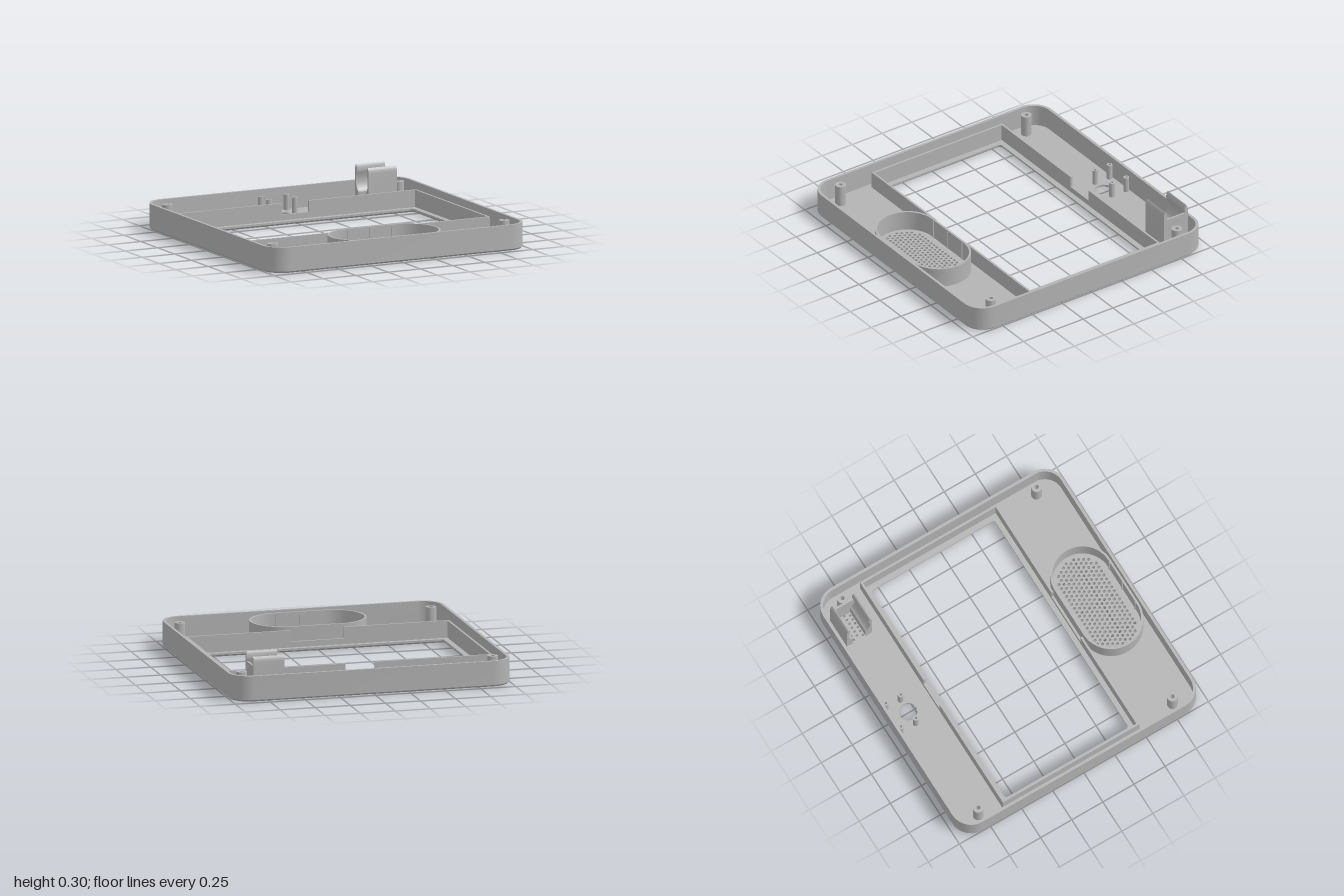
import * as THREE from 'three';
import { toCreasedNormals } from 'three/addons/utils/BufferGeometryUtils.js';

const FLOOR = 0.025;   // floor thickness
const RIM = 0.18;      // outer wall height
const FRAME = 0.145;   // screen frame height

// Rounded rectangle on the x/z plane, always the same number of points
function roundedRect(cx, cz, hx, hz, r, inset = 0) {
  const pts = [], rr = Math.max(r - inset, 0.001), steps = 12;
  [[1, 1], [-1, 1], [-1, -1], [1, -1]].forEach(([sx, sz], q) => {
    for (let i = 0; i <= steps; i++) {
      const a = (q + i / steps) * Math.PI / 2;
      pts.push(new THREE.Vector2(
        cx + sx * (hx - inset - rr) + Math.cos(a) * rr,
        cz + sz * (hz - inset - rr) + Math.sin(a) * rr));
    }
  });
  return pts;
}

// Sweep an [inset, y] profile around a rounded rectangle
function loft(rect, profile) {
  const pos = [], idx = [];
  const loops = profile.map(([inset]) => roundedRect(...rect, inset));
  const n = loops[0].length;
  loops.forEach((loop, j) => loop.forEach(p => pos.push(p.x, profile[j][1], p.y)));
  for (let j = 0; j < loops.length - 1; j++) {
    for (let i = 0; i < n; i++) {
      const k = (i + 1) % n, a = j * n + i, b = j * n + k, c = a + n, d = b + n;
      idx.push(a, c, b, b, c, d);
    }
  }
  const g = new THREE.BufferGeometry();
  g.setAttribute('position', new THREE.Float32BufferAttribute(pos, 3));
  g.setIndex(idx);
  return toCreasedNormals(g, 0.5);
}

function circle(x, z, r, sides) {
  const pts = [];
  for (let i = 0; i < sides; i++) {
    const a = i / sides * Math.PI * 2;
    pts.push(new THREE.Vector2(x + Math.cos(a) * r, z + Math.sin(a) * r));
  }
  return pts;
}

const lathe = (pts, sides) => toCreasedNormals(
  new THREE.LatheGeometry(pts.map(p => new THREE.Vector2(...p)), sides), 0.5);

export function createModel() {
  const model = new THREE.Group();
  const grey = new THREE.MeshStandardMaterial({ color: 0xb3b3b3 });
  grey.name = 'grey plastic';
  const add = (name, geo, x = 0, y = 0, z = 0) => {
    const m = new THREE.Mesh(geo, grey);
    m.name = name;
    m.position.set(x, y, z);
    model.add(m);
    return m;
  };

  const body = [0, 0, 1, 0.965, 0.15];
  const opening = [0, -0.065, 0.897, 0.507, 0.032];
  const speaker = [0, 0.713, 0.41, 0.222, 0.222];

  // Floor with screen opening, camera hole, speaker grille and microphone holes
  const floor = new THREE.Shape(roundedRect(...body, 0.012));
  const cut = pts => floor.holes.push(new THREE.Path(pts));
  cut(roundedRect(...opening));
  cut(circle(0, -0.802, 0.078, 40));
  for (let row = -5; row <= 5; row++) {
    const z = row * 0.03, half = 0.205 + Math.sqrt(0.172 ** 2 - z * z);
    for (let i = -12; i <= 12; i++) {
      const x = (i + (row % 2 ? 0.5 : 0)) * 0.034;
      if (Math.abs(x) < half - 0.005) cut(circle(x, 0.713 + z, 0.0115, 10));
    }
  }
  for (let row = -1; row <= 1; row++) {
    for (let i = 0; i < 6; i++) {
      cut(circle(0.642 + i * 0.033 + (row ? 0 : 0.0165), -0.813 + row * 0.036, 0.0095, 10));
    }
  }
  const floorGeo = new THREE.ExtrudeGeometry(floor, { depth: FLOOR, bevelEnabled: false });
  floorGeo.rotateX(Math.PI / 2);
  add('floor', floorGeo, 0, FLOOR, 0);

  // Outer wall with chamfered foot
  add('outerWall', loft(body, [[0.012, 0], [0, 0.012], [0, RIM], [0.02, RIM], [0.02, FLOOR - 0.001]]));

  // Chamfered edges of the screen opening and camera hole
  add('openingEdge', loft(opening, [[0, FLOOR], [0.012, FLOOR], [0.012, 0.012], [0, 0]]));
  add('cameraEdge', lathe([[0.078, FLOOR], [0.063, FLOOR], [0.063, 0.012], [0.078, 0]], 40), 0, 0, -0.802);

  // Screen frame: plain sides, notched front and back
  const h = FRAME - FLOOR;
  for (const s of [-1, 1]) {
    add('frameSide', new THREE.BoxGeometry(0.015, h, 1.09), s * 0.9335, FLOOR + h / 2, -0.0665);
  }
  for (const [name, z, notch] of [['frameBack', -0.615, 0.105], ['frameFront', 0.466, 0.19]]) {
    const s = new THREE.Shape([[-0.941, FLOOR], [0.941, FLOOR], [0.941, FRAME], [notch, FRAME],
      [notch, 0.065], [-notch, 0.065], [-notch, FRAME], [-0.941, FRAME]].map(p => new THREE.Vector2(...p)));
    add(name, new THREE.ExtrudeGeometry(s, { depth: 0.015, bevelEnabled: false }), 0, 0, z);
  }

  // Speaker surround with small inner ribs
  add('speakerRing', loft(speaker, [[0, FLOOR], [0, 0.165], [0.015, 0.165], [0.015, FLOOR]]));
  for (const x of [-0.17, 0, 0.17]) {
    for (const s of [-1, 1]) {
      add('speakerRib', new THREE.BoxGeometry(0.008, 0.13, 0.008), x, 0.09, 0.713 + s * 0.205);
    }
  }

  // Hollow screw posts
  const post = (name, x, z, R, r, top) =>
    add(name, lathe([[R, FLOOR], [R, top], [r, top], [r, FLOOR + 0.002], [0, FLOOR + 0.002]], 24), x, 0, z);
  for (const s of [-1, 1]) {
    post('cornerPost', s * 0.895, -0.785, 0.037, 0.015, 0.178);
    post('cornerPost', s * 0.895, 0.775, 0.037, 0.015, 0.178);
    post('cameraPost', s * 0.1, -0.922, 0.02, 0.009, 0.135);
    post('cameraPost', s * 0.1, -0.802, 0.02, 0.009, 0.135);
  }

  // Microphone clip: two mirrored jaws and an end plate
  for (const s of [-1, 1]) {
    const jaw = new THREE.Shape();
    jaw.moveTo(s * 0.05, FLOOR);
    jaw.lineTo(s * 0.1, FLOOR);
    jaw.lineTo(s * 0.1, 0.265);
    jaw.quadraticCurveTo(s * 0.098, 0.29, s * 0.086, 0.302);
    jaw.quadraticCurveTo(s * 0.074, 0.29, s * 0.073, 0.255);
    jaw.quadraticCurveTo(s * 0.1, 0.19, s * 0.073, 0.14);
    jaw.quadraticCurveTo(s * 0.062, 0.12, s * 0.05, 0.113);
    const g = new THREE.ExtrudeGeometry(jaw, { depth: 0.22, bevelEnabled: false, curveSegments: 10 });
    g.rotateY(Math.PI / 2);
    add('clipJaw', toCreasedNormals(g, 0.5), 0.625, 0, -0.813);
  }
  add('clipEnd', new THREE.BoxGeometry(0.015, 0.21, 0.19), 0.837, 0.13, -0.813);

  return model;
}
